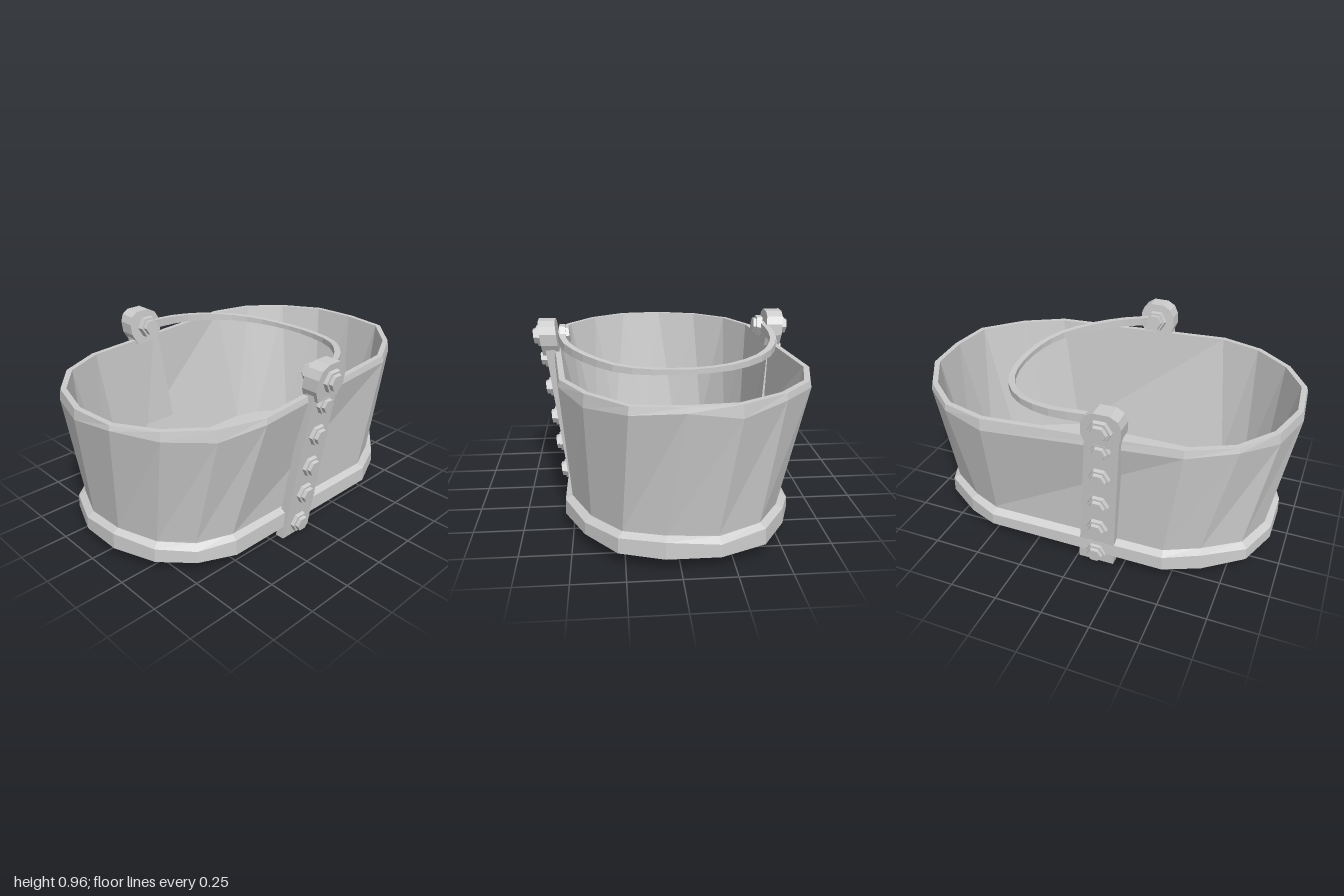
import * as THREE from 'three';

const material = new THREE.MeshStandardMaterial({ color: 0xcccccc, flatShading: true });

// Outlines as [x, z], clockwise from the back; the rim is twisted against the floor
const RIM = [[-0.01, -1], [0.23, -0.97], [0.42, -0.78], [0.54, -0.56], [0.635, 0.43], [0.565, 0.66],
  [0.41, 0.85], [0.21, 0.97], [-0.04, 0.99], [-0.28, 0.92], [-0.47, 0.77], [-0.58, 0.545],
  [-0.68, -0.44], [-0.62, -0.67], [-0.465, -0.85], [-0.25, -0.98]];
const FLOOR = [[0.06, -0.87], [0.24, -0.81], [0.375, -0.645], [0.465, -0.45], [0.465, 0.51], [0.395, 0.66],
  [0.27, 0.78], [0.075, 0.85], [-0.13, 0.85], [-0.31, 0.78], [-0.44, 0.61], [-0.51, 0.45],
  [-0.51, -0.48], [-0.46, -0.62], [-0.35, -0.79], [-0.165, -0.87]];

function addMesh(parent, name, geometry) {
  const mesh = new THREE.Mesh(geometry, material);
  mesh.name = name;
  parent.add(mesh);
  return mesh;
}

// Outline pushed outward by d and lifted to y, with an optional uneven height
function ring(outline, d, y, wobble = 0) {
  const n = outline.length;
  return outline.map(([x, z], i) => {
    const p = outline[(i + n - 1) % n], q = outline[(i + 1) % n];
    const a = new THREE.Vector2(z - p[1], p[0] - x).normalize();
    const b = new THREE.Vector2(q[1] - z, x - q[0]).normalize();
    const k = d / (1 + a.dot(b));
    return new THREE.Vector3(x + (a.x + b.x) * k, y + wobble * Math.sin(i * 1.9 + 1), z + (a.y + b.y) * k);
  });
}

// Skin closed cross-sections, optionally closing either end with a fan
function skin(rings, capStart, capEnd) {
  const n = rings[0].length, points = rings.flat(), index = [];
  for (let r = 0; r < rings.length - 1; r++) {
    for (let i = 0; i < n; i++) {
      const j = (i + 1) % n, a = r * n + i, b = r * n + j, c = a + n, d = b + n;
      index.push(a, c, b, b, c, d);
    }
  }
  const cap = (r, flip) => {
    const centre = new THREE.Vector3();
    rings[r].forEach(p => centre.addScaledVector(p, 1 / n));
    const m = points.push(centre) - 1;
    for (let i = 0; i < n; i++) {
      const a = r * n + i, b = r * n + (i + 1) % n;
      index.push(m, flip ? b : a, flip ? a : b);
    }
  };
  if (capStart) cap(0, false);
  if (capEnd) cap(rings.length - 1, true);
  const geometry = new THREE.BufferGeometry().setFromPoints(points);
  geometry.setIndex(index);
  geometry.computeVertexNormals();
  return geometry;
}

// Hexagonal washer and head, pointing along the local +x axis
function addBolt(parent, name, x, y, z, angle, size = 1) {
  const bolt = new THREE.Group();
  bolt.name = name;
  [[0.057, 0.03, 0.005], [0.042, 0.025, 0.026]].forEach(([radius, depth, at], i) => {
    const hex = new THREE.CylinderGeometry(radius * size * 0.93, radius * size, depth, 6);
    hex.rotateZ(-Math.PI / 2);
    hex.translate(at, 0, 0);
    addMesh(bolt, i ? 'boltHead' : 'washer', hex);
  });
  bolt.position.set(x, y, z);
  bolt.rotation.z = angle;
  parent.add(bolt);
}

// Symmetric plate from half-profile points [halfWidth, y], leaning with height
function plate(profile, thickness, lean) {
  const outline = [...profile, ...profile.map(([u, v]) => [-u, v]).reverse()];
  const geometry = new THREE.ExtrudeGeometry(new THREE.Shape(outline.map(p => new THREE.Vector2(...p))),
    { depth: thickness, bevelEnabled: false });
  geometry.translate(0, 0, -thickness / 2);
  geometry.rotateY(Math.PI / 2);
  geometry.applyMatrix4(new THREE.Matrix4().set(
    1, lean.sx, 0, lean.x, 0, 1, 0, 0, 0, lean.sz, 1, lean.z, 0, 0, 0, 1));
  geometry.computeVertexNormals();
  return geometry;
}

function addStrap(parent, name, side, lean) {
  const strap = new THREE.Group();
  strap.name = name;
  addMesh(strap, 'strapBar', plate([[0.095, 0], [0.085, 0.85]], 0.05, lean));
  addMesh(strap, 'strapHead',
    plate([[0.07, 0.78], [0.098, 0.84], [0.098, 0.9], [0.08, 0.94], [0.04, 0.963]], 0.088, lean));
  const tilt = Math.atan(lean.sx);
  const outward = side > 0 ? -tilt : Math.PI - tilt;
  const place = (label, y, offset, angle, size) =>
    addBolt(strap, label, lean.x + lean.sx * y + side * offset, y, lean.z + lean.sz * y, angle, size);
  [0.07, 0.246, 0.406, 0.583, 0.75].forEach(y => place('bolt', y, 0.025, outward, y > 0.7 ? 0.9 : 1));
  place('topBolt', 0.877, 0.044, outward, 1.08);
  place('handleBolt', 0.877, -0.07, outward + Math.PI, 1.08);
  parent.add(strap);
}

export function createModel() {
  const bucket = new THREE.Group();
  bucket.name = 'bucket';

  // Thin wall, its rim and the inside floor
  addMesh(bucket, 'wall', skin([
    ring(FLOOR, 0.033, 0.1), ring(FLOOR, 0.037, 0.165), ring(RIM, 0, 0.76, 0.02),
    ring(RIM, -0.007, 0.803), ring(RIM, -0.035, 0.803), ring(FLOOR, 0, 0.1),
  ], false, true));

  // Uneven band around the foot, closed underneath
  addMesh(bucket, 'baseBand', skin([
    ring(FLOOR, 0.075, 0.07), ring(FLOOR, 0.072, 0.143, 0.012), ring(FLOOR, 0.034, 0.165, 0.008),
  ], true, false));

  // Side straps with bolts
  addStrap(bucket, 'leftStrap', 1, { x: 0.518, sx: 0.112, z: 0.105, sz: -0.085 });
  addStrap(bucket, 'rightStrap', -1, { x: -0.545, sx: -0.085, z: 0.105, sz: 0.085 });

  // Flat handle swung down towards the back
  const path = new THREE.CatmullRomCurve3([
    [-0.565, 0.877, 0.17], [-0.575, 0.868, 0], [-0.55, 0.852, -0.18], [-0.455, 0.836, -0.355],
    [-0.28, 0.822, -0.475], [-0.02, 0.818, -0.52], [0.235, 0.822, -0.475], [0.385, 0.836, -0.355],
    [0.505, 0.852, -0.18], [0.545, 0.866, -0.05], [0.555, 0.877, 0.03],
  ].map(p => new THREE.Vector3(...p)));
  const steps = 20, sections = [];
  for (let i = 0; i <= steps; i++) {
    const p = path.getPointAt(i / steps), t = path.getTangentAt(i / steps);
    const out = new THREE.Vector3(t.z, 0, -t.x).normalize();
    const h = 0.012 + 0.012 * Math.abs(i / steps * 2 - 1);
    sections.push([[1, 1], [1, -1], [-1, -1], [-1, 1]].map(([a, b]) =>
      p.clone().addScaledVector(out, a * 0.016).add(new THREE.Vector3(0, b * h, 0))));
  }
  addMesh(bucket, 'handle', skin(sections, true, true));

  return bucket;
}
